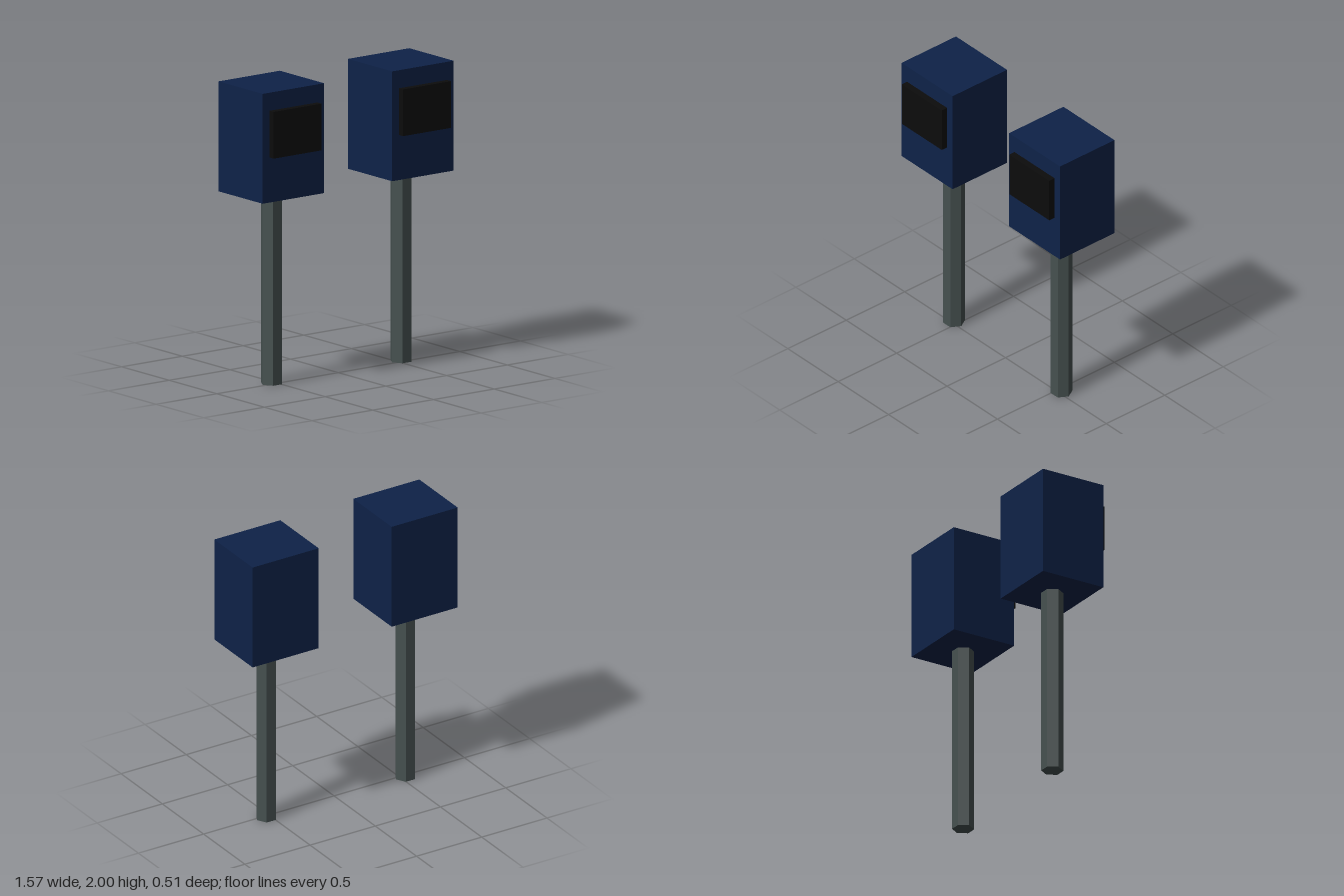
import * as THREE from 'three';

export function createModel() {
  const mat = (name, color) => {
    const m = new THREE.MeshStandardMaterial({ color, flatShading: true });
    m.name = name;
    return m;
  };
  const navy = mat('navy', 0x0e2248);
  const grey = mat('slate grey', 0x465150);
  const black = mat('black', 0x0c0c0c);

  const model = new THREE.Group();
  model.name = 'terminals';

  const add = (parent, name, geometry, material, y, z) => {
    const mesh = new THREE.Mesh(geometry, material);
    mesh.name = name;
    mesh.position.set(0, y, z);
    parent.add(mesh);
  };

  // Shared shapes; the hexagonal post has corners pointing sideways
  const postShape = new THREE.CylinderGeometry(0.072, 0.072, 1.27, 6).rotateY(Math.PI / 6);
  const housingShape = new THREE.BoxGeometry(0.506, 0.73, 0.465);
  const screenShape = new THREE.BoxGeometry(0.396, 0.31, 0.045);

  // Two identical units, side by side
  for (const [name, x] of [['rightTerminal', -0.534], ['leftTerminal', 0.532]]) {
    const unit = new THREE.Group();
    unit.name = name;
    unit.position.x = x;
    add(unit, 'post', postShape, grey, 0.635, -0.02);
    add(unit, 'housing', housingShape, navy, 1.635, -0.0225);
    add(unit, 'screen', screenShape, black, 1.725, 0.2325);
    model.add(unit);
  }
  return model;
}
